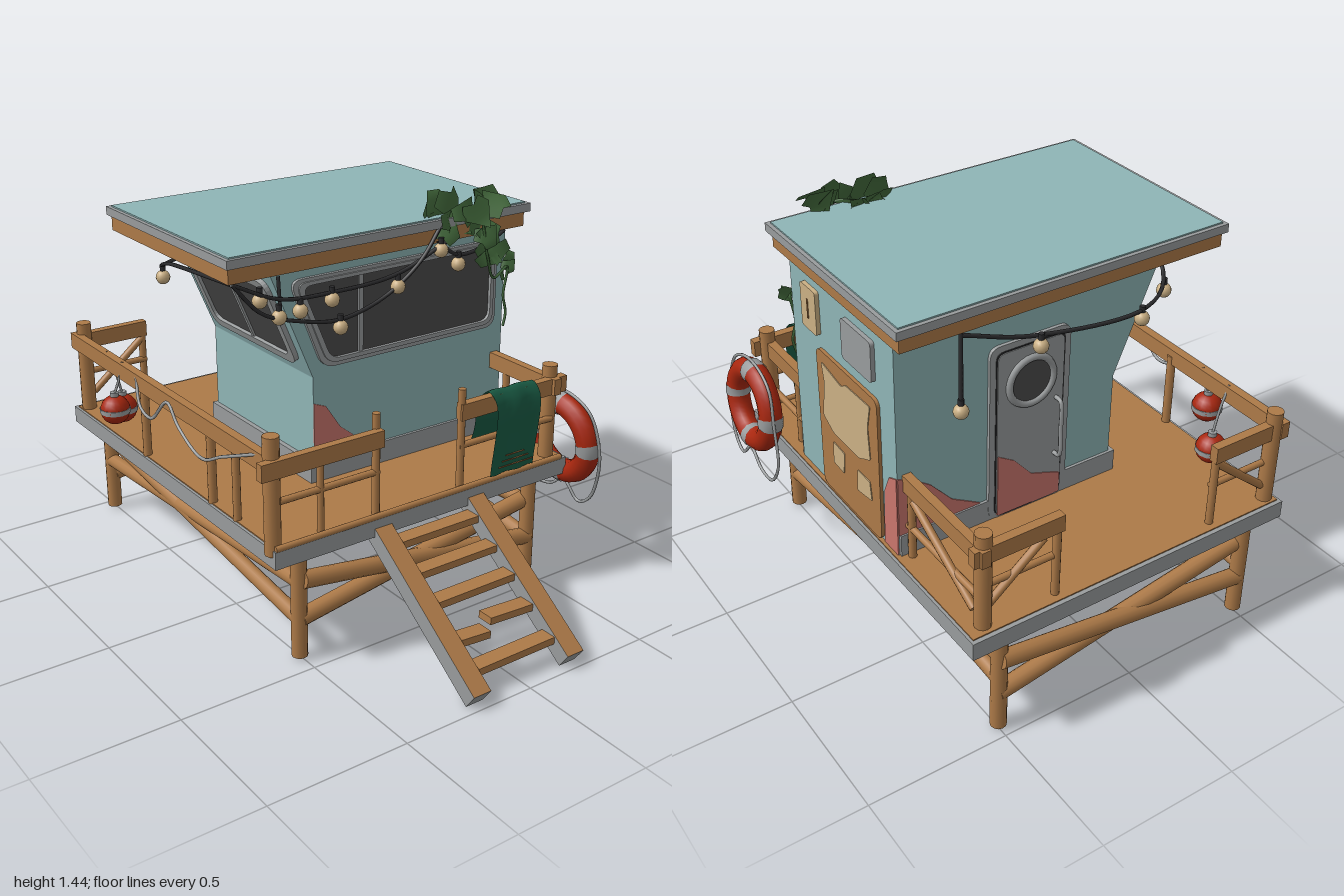
import * as THREE from 'three';

const mat = (name, color, side = THREE.FrontSide) => {
  const m = new THREE.MeshStandardMaterial({ color, side });
  m.name = name;
  return m;
};
const V = (p) => new THREE.Vector3(...p);

export function createModel() {
  const model = new THREE.Group();
  const teal = mat('teal paint', 0x8fb5b6), wood = mat('wood', 0xad7a48), grey = mat('grey trim', 0x999c9d);
  const glass = mat('dark glass', 0x4c4b4b), red = mat('red', 0xa8270f), pink = mat('faded pink', 0xca766d);
  const cream = mat('cream', 0xcbb084), black = mat('cable black', 0x2c2c2e);
  const leaf = mat('leaf green', 0x436a3c, THREE.DoubleSide), cloth = mat('towel green', 0x1a5c45, THREE.DoubleSide);

  const add = (name, geo, m, parent = model) => {
    const mesh = new THREE.Mesh(geo, m);
    mesh.name = name;
    parent.add(mesh);
    return mesh;
  };
  const box = (name, x0, x1, y0, y1, z0, z1, m, parent) => {
    const b = add(name, new THREE.BoxGeometry(x1 - x0, y1 - y0, z1 - z0), m, parent);
    b.position.set((x0 + x1) / 2, (y0 + y1) / 2, (z0 + z1) / 2);
    return b;
  };
  // round pole between two points
  const pole = (name, a, b, r, m = wood) => {
    const p = V(a), d = V(b).sub(p);
    const c = add(name, new THREE.CylinderGeometry(r, r, d.length(), 12), m);
    c.position.copy(p).addScaledVector(d, 0.5);
    c.quaternion.setFromUnitVectors(new THREE.Vector3(0, 1, 0), d.normalize());
    return c;
  };
  const tube = (name, pts, r, m, parent, closed = false) =>
    add(name, new THREE.TubeGeometry(new THREE.CatmullRomCurve3(pts.map(V), closed), pts.length * 6, r, 6, closed), m, parent);
  // polygon with rounded corners
  const rounded = (pts, r, path = new THREE.Shape()) => {
    const P = pts.map((p) => new THREE.Vector2(...p)), n = P.length;
    P.forEach((p, i) => {
      const toward = (q) => p.clone().add(q.clone().sub(p).setLength(r));
      const a = toward(P[(i + n - 1) % n]), b = toward(P[(i + 1) % n]);
      if (i) path.lineTo(a.x, a.y); else path.moveTo(a.x, a.y);
      path.quadraticCurveTo(p.x, p.y, b.x, b.y);
    });
    path.closePath();
    return path;
  };
  const plate = (name, pts, r, depth, m, parent, hole, holeR) => {
    const s = rounded(pts, r);
    if (hole) s.holes.push(rounded(hole, holeR, new THREE.Path()));
    return add(name, new THREE.ExtrudeGeometry(s, { depth, bevelEnabled: false, curveSegments: 6 }), m, parent);
  };
  const rect = (x0, x1, y0, y1) => [[x0, y0], [x1, y0], [x1, y1], [x0, y1]];

  // deck with grey rim
  box('deck', -0.615, 0.615, 0.41, 0.468, -0.985, 0.462, wood);
  for (const s of [-1, 1]) box('deckRimSide', s * 0.595 - 0.03, s * 0.595 + 0.03, 0.4, 0.464, -1, 0.472, grey);
  box('deckRimFront', -0.62, 0.62, 0.4, 0.464, 0.415, 0.472, grey);
  box('deckRimBack', -0.62, 0.62, 0.4, 0.464, -1, -0.945, grey);

  // legs and cross braces
  for (const x of [-0.505, 0.495]) {
    for (const z of [0.42, -0.95]) pole('leg', [x, 0.02, z], [x, 0.41, z], 0.028);
    pole('sideBrace', [x, 0.3, 0.42], [x, 0.22, -0.95], 0.027);
    pole('sideBrace', [x, 0.16, 0.42], [x, 0.32, -0.95], 0.027);
  }
  for (const z of [0.42, -0.95]) for (const s of [-1, 1])
    pole('crossBrace', [-0.5 * s, 0.16, z], [0.5 * s, 0.31, z - s * 0.015], 0.031);

  // ladder: grey stringers with wooden tops, one broken rung
  const slope = Math.atan(0.7);
  for (const x of [-0.2, 0.2]) {
    const s = add('ladderStringer', new THREE.BoxGeometry(0.07, 0.065, 0.7), [grey, grey, wood, grey, grey, grey]);
    s.position.set(x, 0.237, 0.691);
    s.rotation.x = slope;
  }
  const rungY = (z) => 0.035 + (0.98 - z) * 0.7;
  const rung = (x0, x1, z, tilt = 0) => {
    const b = box('ladderRung', x0, x1, rungY(z) - 0.013, rungY(z) + 0.013, z - 0.03, z + 0.03, wood);
    b.rotation.z = tilt;
  };
  [0.5, 0.6, 0.695, 0.9].forEach((z) => rung(-0.18, 0.18, z));
  rung(-0.18, -0.04, 0.815, -0.08);
  rung(-0.02, 0.18, 0.79, -0.06);

  // railing posts: [x, z, bottom, top, radius]
  [[-0.61, 0.435, 0.44, 0.85, 0.028], [-0.21, 0.44, 0.46, 0.83, 0.014], [0.15, 0.44, 0.46, 0.83, 0.014],
    [0.57, 0.42, 0.46, 0.82, 0.028], [-0.43, 0.44, 0.46, 0.74, 0.012], [0.565, 0.2, 0.46, 0.74, 0.014],
    [-0.585, -0.95, 0.46, 0.82, 0.028], [0.555, -0.945, 0.46, 0.82, 0.028], [-0.34, -0.95, 0.46, 0.76, 0.014],
    [0.29, -0.95, 0.46, 0.76, 0.014], [-0.605, -0.42, 0.46, 0.75, 0.016], [-0.605, 0.05, 0.46, 0.75, 0.016],
    [-0.605, 0.21, 0.46, 0.75, 0.014], [0.565, -0.56, 0.46, 0.75, 0.014],
  ].forEach(([x, z, y0, y1, r]) => pole('railPost', [x, y0, z], [x, y1, z], r));
  // flat top rails: [x0, x1, z0, z1]
  [[-0.67, -0.2, 0.445, 0.475], [0.14, 0.62, 0.425, 0.457], [-0.627, -0.595, -0.98, 0.475], [0.55, 0.582, 0.1, 0.47],
    [0.55, 0.582, -0.98, -0.52], [-0.62, -0.325, -0.968, -0.936], [0.275, 0.6, -0.968, -0.936],
  ].forEach(([x0, x1, z0, z1]) => box('topRail', x0, x1, 0.718, 0.778, z0, z1, wood));
  // thin middle rails: [x0, z0, x1, z1, height]
  [[-0.61, 0.44, -0.2, 0.44, 0.62], [0.14, 0.44, 0.57, 0.44, 0.62], [0.565, 0.43, 0.565, 0.12, 0.57],
    [0.565, -0.53, 0.565, -0.95, 0.58], [-0.58, -0.945, -0.33, -0.945, 0.62], [0.28, -0.945, 0.55, -0.945, 0.62],
  ].forEach(([x0, z0, x1, z1, y]) => pole('middleRail', [x0, y, z0], [x1, y, z1], 0.012));
  pole('bottomRail', [-0.62, 0.47, 0.465], [0.6, 0.47, 0.465], 0.011);
  for (const s of [-1, 1]) pole('railBrace', [s * 0.56, 0.53, -0.95], [s * 0.34, 0.71, -0.95], 0.014);
  pole('railBrace', [0.57, 0.52, -0.92], [0.57, 0.7, -0.58], 0.014);

  // cabin body with leaning side, and its plinth
  const body = plate('cabinBody', [[0.6, 0.465], [0.6, 1.285], [-0.42, 1.285], [-0.24, 0.855], [-0.24, 0.465]], 0.002, 0.655, teal);
  body.position.z = -0.535;
  box('plinth', -0.258, 0.597, 0.465, 0.548, -0.545, 0.13, grey);

  // wall frames: local x runs along the wall, local z points outward
  const wall = (name, pos, ry, rx = 0) => {
    const g = new THREE.Group();
    g.name = name;
    g.position.set(...pos);
    g.rotation.set(rx, ry, 0, 'YXZ');
    model.add(g);
    return g;
  };
  const front = wall('frontWall', [0, 0, 0.12], 0);
  const right = wall('doorWall', [0.6, 0, 0], Math.PI / 2);
  const back = wall('backWall', [0, 0, -0.535], Math.PI);
  const lean = wall('leaningWall', [-0.24, 0.855, 0], -Math.PI / 2, 0.397);

  // windows: stepped frame, glass and mullion
  const outer = [[-0.205, 0.885], [0.555, 0.885], [0.555, 1.215], [-0.335, 1.215]];
  const seam = [[-0.19, 0.9], [0.54, 0.9], [0.54, 1.203], [-0.314, 1.203]];
  const inner = [[-0.175, 0.915], [0.525, 0.915], [0.525, 1.19], [-0.29, 1.19]];
  plate('windowFrame', outer, 0.05, 0.012, grey, front, seam, 0.045);
  plate('windowInnerFrame', seam, 0.045, 0.018, grey, front, inner, 0.04);
  plate('windowGlass', inner, 0.03, 0.006, glass, front);
  box('windowMullion', -0.057, -0.041, 0.91, 1.195, 0, 0.014, grey, front);
  const sideInner = rect(-0.44, 0.05, 0.08, 0.36);
  plate('sideWindowFrame', rect(-0.47, 0.08, 0.05, 0.39), 0.05, 0.018, grey, lean, sideInner, 0.04);
  plate('sideWindowGlass', sideInner, 0.03, 0.006, glass, lean);
  box('sideMullion', -0.2, -0.184, 0.075, 0.365, 0, 0.014, grey, lean);

  // worn paint patches
  plate('wornPaintFront', [[-0.24, 0.548], [-0.02, 0.548], [-0.08, 0.61], [-0.13, 0.65], [-0.19, 0.74], [-0.24, 0.76]], 0.005, 0.004, pink, front);
  plate('wornPaintDoorWall', [[0.45, 0.468], [0.535, 0.468], [0.535, 0.77], [0.49, 0.75], [0.46, 0.68]], 0.005, 0.004, pink, right);
  plate('wornPaintBack', [[-0.6, 0.548], [-0.29, 0.548], [-0.4, 0.61], [-0.48, 0.7], [-0.55, 0.75], [-0.6, 0.77]], 0.005, 0.004, pink, back);

  // wooden side door with peeled patches, and two wall panels
  plate('woodDoor', rect(0.055, 0.445, 0.47, 1.01), 0.03, 0.012, wood, right);
  const peel = new THREE.Group();
  peel.name = 'doorPeeling';
  peel.position.z = 0.012;
  right.add(peel);
  plate('peeledPatch', [[0.085, 0.76], [0.105, 0.75], [0.15, 0.725], [0.32, 0.725], [0.37, 0.75], [0.395, 0.76], [0.385, 0.88],
    [0.405, 0.97], [0.25, 0.965], [0.22, 0.945], [0.09, 0.97], [0.105, 0.9]], 0.01, 0.003, cream, peel);
  plate('peeledPatch', [[0.14, 0.6], [0.21, 0.595], [0.22, 0.68], [0.145, 0.685]], 0.005, 0.003, cream, peel);
  plate('peeledPatch', [[0.3, 0.585], [0.395, 0.6], [0.385, 0.67], [0.305, 0.67]], 0.005, 0.003, cream, peel);
  plate('noticeBoard', rect(-0.025, 0.075, 1.055, 1.215), 0.012, 0.015, cream, right);
  box('noticeMark', 0.02, 0.026, 1.1, 1.17, 0.015, 0.018, wood, right);
  plate('ventPanel', rect(0.24, 0.425, 1.065, 1.21), 0.015, 0.015, grey, right);

  // back door with porthole and handle
  plate('backDoorFrame', rect(-0.265, 0.045, 0.468, 1.13), 0.04, 0.012, grey, back);
  plate('backDoorGroove', rect(-0.243, 0.023, 0.478, 1.108), 0.03, 0.014, black, back);
  plate('backDoorLeaf', rect(-0.238, 0.018, 0.475, 1.103), 0.03, 0.017, grey, back);
  plate('backDoorWear', [[-0.235, 0.48], [0.015, 0.48], [0.015, 0.56], [-0.1, 0.6], [-0.17, 0.68], [-0.235, 0.72]], 0.005, 0.02, pink, back);
  add('portholeRim', new THREE.TorusGeometry(0.085, 0.013, 8, 28), grey, back).position.set(-0.11, 0.97, 0.017);
  add('portholeGlass', new THREE.CircleGeometry(0.085, 28), glass, back).position.set(-0.11, 0.97, 0.02);
  tube('doorHandle', [[-0.01, 0.65, 0.015], [-0.01, 0.655, 0.045], [-0.01, 0.76, 0.05], [-0.01, 0.865, 0.045], [-0.01, 0.87, 0.015]], 0.008, grey, back);

  // roof
  box('roofFascia', -0.6, 0.62, 1.266, 1.322, -0.605, 0.192, wood);
  box('roofSoffit', -0.575, 0.595, 1.262, 1.268, -0.58, 0.167, teal);
  box('roofSlab', -0.612, 0.636, 1.32, 1.35, -0.62, 0.208, grey);
  box('roofTop', -0.598, 0.622, 1.348, 1.355, -0.606, 0.194, teal);

  // string lights
  [[[-0.58, 1.26, 0.18], [-0.48, 1.15, 0.19], [-0.34, 1.1, 0.2], [-0.18, 1.075, 0.2], [0, 1.12, 0.2], [0.14, 1.22, 0.21], [0.25, 1.35, 0.2]],
    [[-0.58, 1.26, 0.18], [-0.42, 1.19, 0.2], [-0.22, 1.175, 0.2], [0.05, 1.19, 0.2], [0.25, 1.27, 0.21]],
    [[0.22, 1.28, 0.2], [0.32, 1.21, 0.19], [0.44, 1.22, 0.19], [0.54, 1.26, 0.18]],
    [[-0.41, 1.26, 0.18], [-0.41, 1.15, 0.19]],
    [[0.4, 1.27, -0.59], [0.4, 1.02, -0.59]],
    [[0.4, 1.25, -0.59], [0.15, 1.17, -0.6], [-0.28, 1.13, -0.61], [-0.46, 1.14, -0.5], [-0.56, 1.22, -0.25], [-0.58, 1.26, 0.18]],
  ].forEach((pts) => tube('lightCable', pts, 0.007, black));
  [[-0.48, 1.19, 0.18], [-0.465, 1.095, -0.5], [-0.415, 1.125, 0.19], [-0.34, 1.135, 0.2], [-0.215, 1.15, 0.2], [-0.185, 1.05, 0.205],
    [0.055, 1.145, 0.2], [0.23, 1.245, 0.21], [0.325, 1.175, 0.19], [0.4, 0.98, -0.59], [0.12, 1.13, -0.61], [-0.28, 1.1, -0.61],
  ].forEach((p) => {
    add('lightBulb', new THREE.SphereGeometry(0.026, 12, 8), cream).position.set(...p);
    pole('bulbSocket', [p[0], p[1] + 0.02, p[2]], [p[0], p[1] + 0.045, p[2]], 0.01, black);
  });

  // climbing vine with folded leaves
  let seed = 7;
  const rnd = () => (seed = (seed * 16807) % 2147483647) / 2147483647;
  const leafGeo = new THREE.ShapeGeometry(new THREE.Shape([[0, -0.04], [0.035, -0.055], [0.06, -0.01], [0.035, 0.02], [0, 0.065],
    [-0.035, 0.02], [-0.06, -0.01], [-0.035, -0.055]].map((p) => new THREE.Vector2(...p))));
  const lp = leafGeo.attributes.position;
  for (let i = 0; i < lp.count; i++) lp.setZ(i, -Math.abs(lp.getX(i)) * 0.45);
  leafGeo.computeVertexNormals();
  const addLeaf = (x, y, z, s) => {
    const l = add('vineLeaf', leafGeo, leaf);
    l.position.set(x, y, z);
    l.rotation.set(-0.7 + rnd() * 0.7, (rnd() - 0.5) * 1.4, rnd() * 6.28);
    l.scale.setScalar(s);
  };
  for (let i = 0; i < 16; i++) addLeaf(0.24 + rnd() * 0.23, 1.29 + rnd() * 0.11, 0.13 + rnd() * 0.14, 0.85 + rnd() * 0.3);
  for (let i = 0; i < 5; i++) addLeaf(0.41 + rnd() * 0.07, 1.18 + rnd() * 0.1, 0.21 + rnd() * 0.05, 0.8);
  [[0.6, 1.11, 0.15], [0.57, 1.09, 0.16], [0.62, 1.13, 0.13]].forEach((p) => addLeaf(...p, 0.5));
  tube('vineStem', [[0.3, 1.36, 0.15], [0.38, 1.35, 0.22], [0.43, 1.2, 0.22], [0.5, 1.09, 0.18], [0.59, 1.11, 0.15], [0.585, 1.0, 0.14], [0.6, 0.93, 0.14], [0.59, 0.88, 0.14]], 0.005, leaf);

  // towel draped over the front rail
  const drape = new THREE.CatmullRomCurve3([[0, 0.49, 0.483], [0, 0.62, 0.482], [0, 0.75, 0.475], [0, 0.794, 0.442], [0, 0.75, 0.406],
    [0, 0.66, 0.385], [0, 0.58, 0.355]].map(V));
  const towel = new THREE.PlaneGeometry(0.2, 1, 10, 24), tp = towel.attributes.position, q = new THREE.Vector3();
  for (let i = 0; i < tp.count; i++) {
    const x = tp.getX(i), v = tp.getY(i) + 0.5;
    drape.getPoint(v, q);
    tp.setXYZ(i, 0.362 + x + 0.012 * Math.sin(v * 9 - 1.2), q.y, q.z + 0.005 * Math.sin(x * 60 + v * 4));
  }
  towel.computeVertexNormals();
  add('towel', towel, cloth);
  [0.515, 0.535, 0.555].forEach((y, i) => box('towelStripe', 0.285 + i * 0.015, 0.44 - i * 0.02, y, y + 0.004, 0.488, 0.491, wood));

  // life ring with bands and hanging grab rope
  const ring = wall('lifeRing', [0.643, 0.525, 0.425], Math.PI / 2);
  ring.rotation.set(0, Math.PI / 2, 0.09, 'ZYX');
  add('ringBody', new THREE.TorusGeometry(0.135, 0.043, 12, 36), red, ring);
  for (let i = 0; i < 4; i++)
    add('ringBand', new THREE.TorusGeometry(0.135, 0.046, 12, 5, 0.3), grey, ring).rotation.z = i * Math.PI / 2 - 0.15;
  tube('ringRope', [[0, 0.183], [0.135, 0.135], [0.183, 0], [0.22, -0.14], [0.17, -0.23], [0.08, -0.23], [0, -0.183],
    [-0.07, -0.245], [-0.13, -0.21], [-0.17, -0.12], [-0.183, 0], [-0.135, 0.135]].map(([x, y]) => [x, y, 0.01]), 0.006, grey, ring, true);

  // hanging buoys and rail rope
  [[-0.555, 0.54, -0.71], [-0.65, 0.602, -0.575]].forEach(([x, y, z]) => {
    add('buoy', new THREE.SphereGeometry(0.055, 16, 12), red).position.set(x, y, z);
    pole('buoyBand', [x, y - 0.009, z], [x, y + 0.009, z], 0.0565, grey);
    pole('buoyCap', [x, y + 0.045, z], [x, y + 0.068, z], 0.016, grey);
    tube('buoyRope', [[x, y + 0.06, z], [(x - 0.61) / 2, 0.71, z], [-0.61, 0.78, z]], 0.005, grey);
  });
  tube('railRope', [[-0.62, 0.77, 0.38], [-0.645, 0.7, 0.2], [-0.645, 0.64, 0.05], [-0.645, 0.7, -0.1], [-0.64, 0.76, -0.18],
    [-0.645, 0.66, -0.3], [-0.645, 0.68, -0.38], [-0.62, 0.77, -0.45]], 0.006, grey);

  return model;
}
